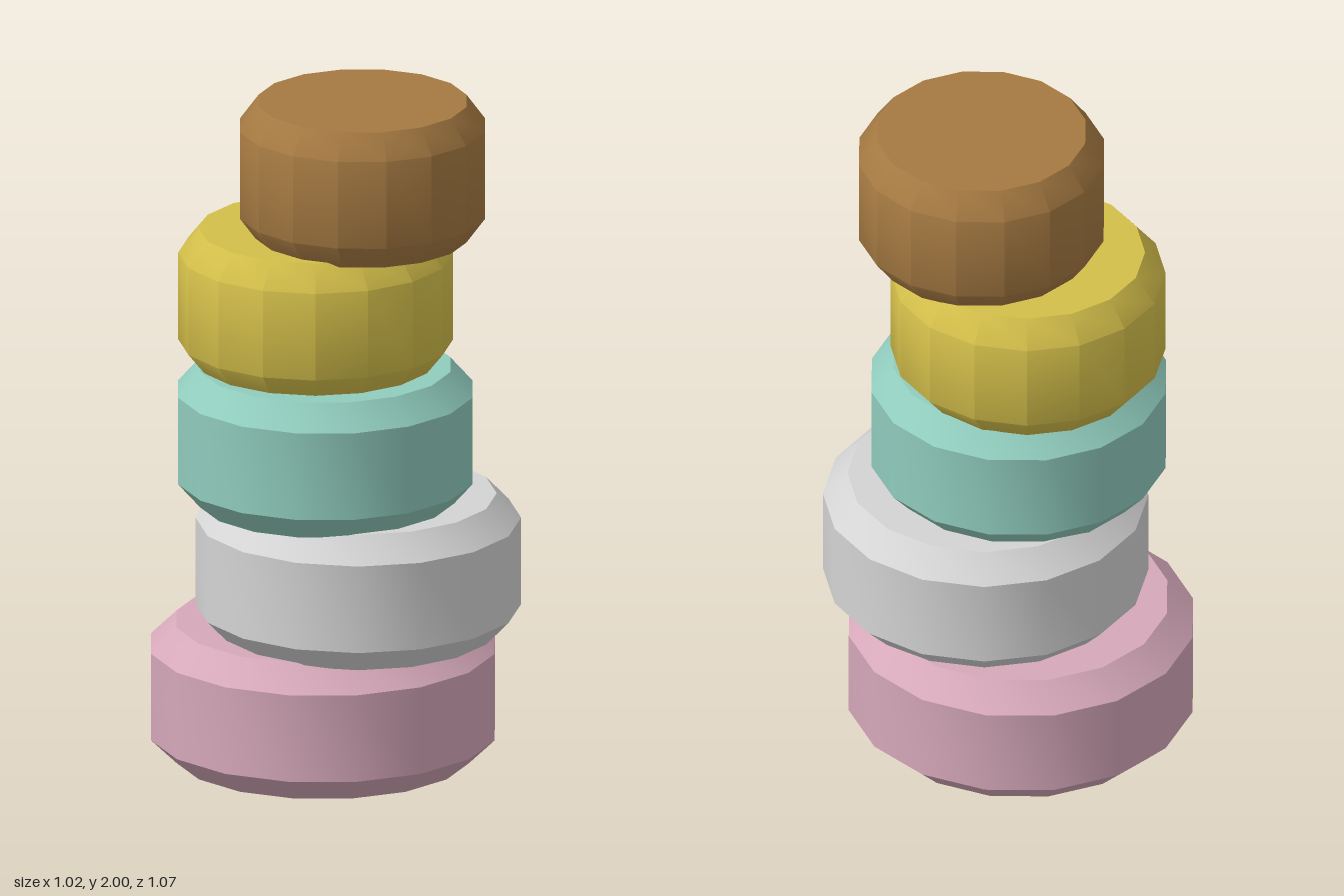
import * as THREE from 'three';
import { toCreasedNormals } from 'three/addons/utils/BufferGeometryUtils.js';

const SIDES = 16;
const HEIGHT = 0.41;   // height of each drum
const STEP = 0.3975;   // drums sink slightly into one another
const BEVEL = 0.074;   // bevel height
const INSET = 0.85;    // cap radius relative to drum radius

// Bevelled 16-sided drum, creased only at sharp edges
function drumGeometry(radius) {
  const cap = radius * INSET;
  const profile = [
    [0, 0], [cap, 0], [radius, BEVEL],
    [radius, HEIGHT - BEVEL], [cap, HEIGHT], [0, HEIGHT],
  ].map(([x, y]) => new THREE.Vector2(x, y));
  return toCreasedNormals(new THREE.LatheGeometry(profile, SIDES), THREE.MathUtils.degToRad(40));
}

// Drums from bottom to top; alternate ones are turned by half a side
const DRUMS = [
  { name: 'pink', color: 0xd6a8ba, radius: 0.506, x: -0.008, z: -0.027 },
  { name: 'lightGrey', color: 0xd4d4d4, radius: 0.470, x: 0.049, z: 0.072 },
  { name: 'teal', color: 0x90ccbd, radius: 0.433, x: -0.045, z: 0.041 },
  { name: 'yellow', color: 0xd4bf4a, radius: 0.397, x: -0.041, z: -0.015 },
  { name: 'brown', color: 0xa67a42, radius: 0.360, x: 0.051, z: 0.091 },
];

export function createModel() {
  const model = new THREE.Group();
  model.name = 'drumStack';
  DRUMS.forEach(({ name, color, radius, x, z }, i) => {
    const material = new THREE.MeshStandardMaterial({ color });
    material.name = name;
    const drum = new THREE.Mesh(drumGeometry(radius), material);
    drum.name = name + 'Drum';
    drum.position.set(x, i * STEP, z);
    drum.rotation.y = (i % 2) * Math.PI / SIDES;
    model.add(drum);
  });
  return model;
}
